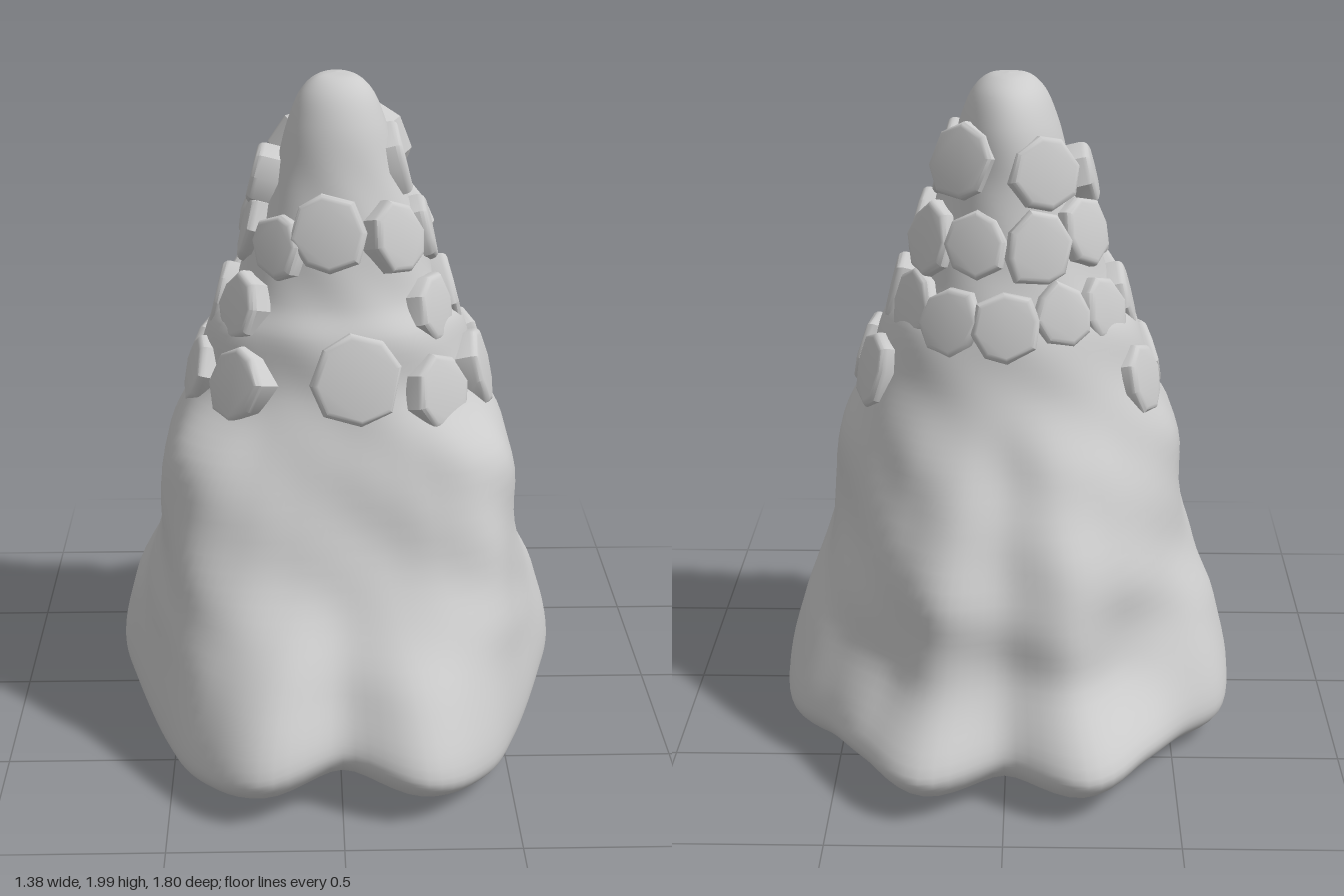
import * as THREE from 'three';
import { toCreasedNormals } from 'three/addons/utils/BufferGeometryUtils.js';

// Radii every 15 degrees from the front (0) to the back (180); both halves are mirrored.
const RIM = [0.81, 0.93, 0.85, 0.74, 0.68, 0.66, 0.68, 0.71, 0.755, 0.75, 0.83, 0.93, 0.79];
const RIM_Y = [0.10, 0.06, 0.02, 0.01, 0.03, 0.04, 0.05, 0.05, 0.03, 0.04, 0.06, 0.05, 0.06];
const SKIRT = [
  [0.36, [0.72, 0.80, 0.76, 0.70, 0.65, 0.63, 0.64, 0.66, 0.68, 0.67, 0.68, 0.76, 0.70]],
  [0.60, [0.54, 0.56, 0.61, 0.64, 0.60, 0.57, 0.55, 0.56, 0.58, 0.61, 0.65, 0.71, 0.66]],
  [0.90, [0.41, 0.43, 0.48, 0.55, 0.57, 0.54, 0.52, 0.52, 0.51, 0.51, 0.53, 0.54, 0.51]],
];
// Upper cone: height, then front, side and back radius.
const CONE = [
  [1.10, 0.35, 0.43, 0.42], [1.27, 0.32, 0.38, 0.37], [1.36, 0.27, 0.31, 0.34],
  [1.52, 0.23, 0.26, 0.29], [1.70, 0.19, 0.19, 0.26], [1.86, 0.15, 0.145, 0.235],
  [1.95, 0.10, 0.105, 0.18], [1.99, 0.045, 0.06, 0.10],
];

// Smooth reading of a mirrored 13-value table at any angle
function around(table, angle) {
  const a = Math.abs(Math.atan2(Math.sin(angle), Math.cos(angle))) / Math.PI * 12;
  const i = Math.min(11, Math.floor(a)), t = a - i;
  const p = k => table[k < 0 ? -k : k > 12 ? 24 - k : k];
  const [p0, p1, p2, p3] = [p(i - 1), p(i), p(i + 1), p(i + 2)];
  return p1 + 0.5 * t * (p2 - p0 + t * (2 * p0 - 5 * p1 + 4 * p2 - p3 + t * (3 * (p1 - p2) + p3 - p0)));
}

// Meridian from under the body, round the rim and up to the tip
function meridian(angle) {
  const s = Math.sin(angle), c = Math.cos(angle);
  const at = (r, y) => new THREE.Vector3(r * s, y, r * c);
  const rim = around(RIM, angle), low = around(RIM_Y, angle);
  const points = [at(0, 0.15), at(rim * 0.5, 0.13), at(rim * 0.86, low), at(rim * 0.97, low + 0.045), at(rim, low + 0.1)];
  for (const [y, radii] of SKIRT) points.push(at(around(radii, angle), y));
  for (const [y, front, side, back] of CONE) {
    const z = c > 0 ? front : back;
    points.push(at(1 / Math.hypot(s / side, c / z), y));
  }
  points.push(new THREE.Vector3(0, 2, -0.03));
  return new THREE.CatmullRomCurve3(points);
}

function bodyGeometry(around = 144, up = 110) {
  const position = [], index = [];
  for (let i = 0; i < around; i++) {
    const curve = meridian(i / around * Math.PI * 2);
    for (let j = 0; j <= up; j++) {
      const p = curve.getPoint(j / up);
      // gentle lumps in the wall
      const fade = THREE.MathUtils.smoothstep(p.y, 0.25, 0.5) * (1 - THREE.MathUtils.smoothstep(p.y, 1.6, 1.9));
      const a = i / around * Math.PI * 2;
      const k = 1 + 0.014 * fade * Math.sin(5 * a + 9 * p.y) * Math.sin(15 * p.y + 2 * a);
      position.push(p.x * k, p.y, p.z * k);
      if (j < up) {
        const q = i * (up + 1) + j, r = ((i + 1) % around) * (up + 1) + j;
        index.push(q, r, r + 1, q, r + 1, q + 1);
      }
    }
  }
  const geometry = new THREE.BufferGeometry();
  geometry.setAttribute('position', new THREE.Float32BufferAttribute(position, 3));
  geometry.setIndex(index);
  geometry.computeVertexNormals();
  return geometry;
}

// Point on the upper wall at a given angle and height
function wallPoint(angle, y) {
  const curve = meridian(angle);
  let lo = 0.35, hi = 1;
  for (let k = 0; k < 24; k++) {
    const mid = (lo + hi) / 2;
    if (curve.getPoint(mid).y < y) lo = mid; else hi = mid;
  }
  return curve.getPoint(lo);
}

let seed = 7;
const random = () => (seed = (seed * 16807) % 2147483647) / 2147483647;

// Irregular flat stone with a rounded edge, facing +z
function stoneGeometry(radius) {
  const sides = 8, points = [];
  for (let i = 0; i < sides; i++) {
    const a = (i + 0.3 * random()) / sides * Math.PI * 2;
    const r = radius * (0.82 + 0.16 * random());
    points.push(new THREE.Vector2(r * Math.cos(a) * 0.95, r * Math.sin(a)));
  }
  const geometry = new THREE.ExtrudeGeometry(new THREE.Shape(points), {
    depth: 0.08, bevelSize: 0.018, bevelThickness: 0.022, bevelSegments: 3, bevelOffset: -0.01,
  });
  geometry.translate(0, 0, -0.09);
  return toCreasedNormals(geometry, 0.7);
}

export function createModel() {
  const model = new THREE.Group();
  const material = new THREE.MeshStandardMaterial({ color: 0xcccccc });

  const body = new THREE.Mesh(bodyGeometry(), material);
  body.name = 'body';
  model.add(body);

  const stones = new THREE.Group();
  stones.name = 'stones';
  model.add(stones);
  function addStone(degrees, y, radius, lift = 0.015) {
    const angle = THREE.MathUtils.degToRad(degrees), tilt = 0.25;
    const stone = new THREE.Mesh(stoneGeometry(radius), material);
    const out = new THREE.Vector3(Math.sin(angle), tilt, Math.cos(angle)).normalize();
    stone.position.copy(wallPoint(angle, y)).addScaledVector(out, lift);
    stone.lookAt(stone.position.clone().add(out));
    stone.name = 'stone';
    stones.add(stone);
  }

  // Rows: height, radius, and the angles of the stones
  const rows = [
    [1.11, 0.115, [50, 80, 112, 248, 280, 310]],
    [1.33, 0.105, [62, 92, 124, 152, 180, 208, 236, 268, 298]],
    [1.54, 0.105, [45, 87, 126, 162, 198, 234, 273, 315]],
    [1.75, 0.11, [90, 145, 205]],
  ];
  for (const [y, radius, angles] of rows)
    for (const a of angles) addStone(a, y + (random() - 0.5) * 0.03, radius * (0.95 + 0.15 * random()), 0.008 + 0.02 * random());

  // Single stones on the front and the jutting one on the right
  addStone(-7, 1.57, 0.125);
  addStone(8, 1.17, 0.15, 0.01);
  addStone(268, 1.69, 0.1, 0.05);
  return model;
}
